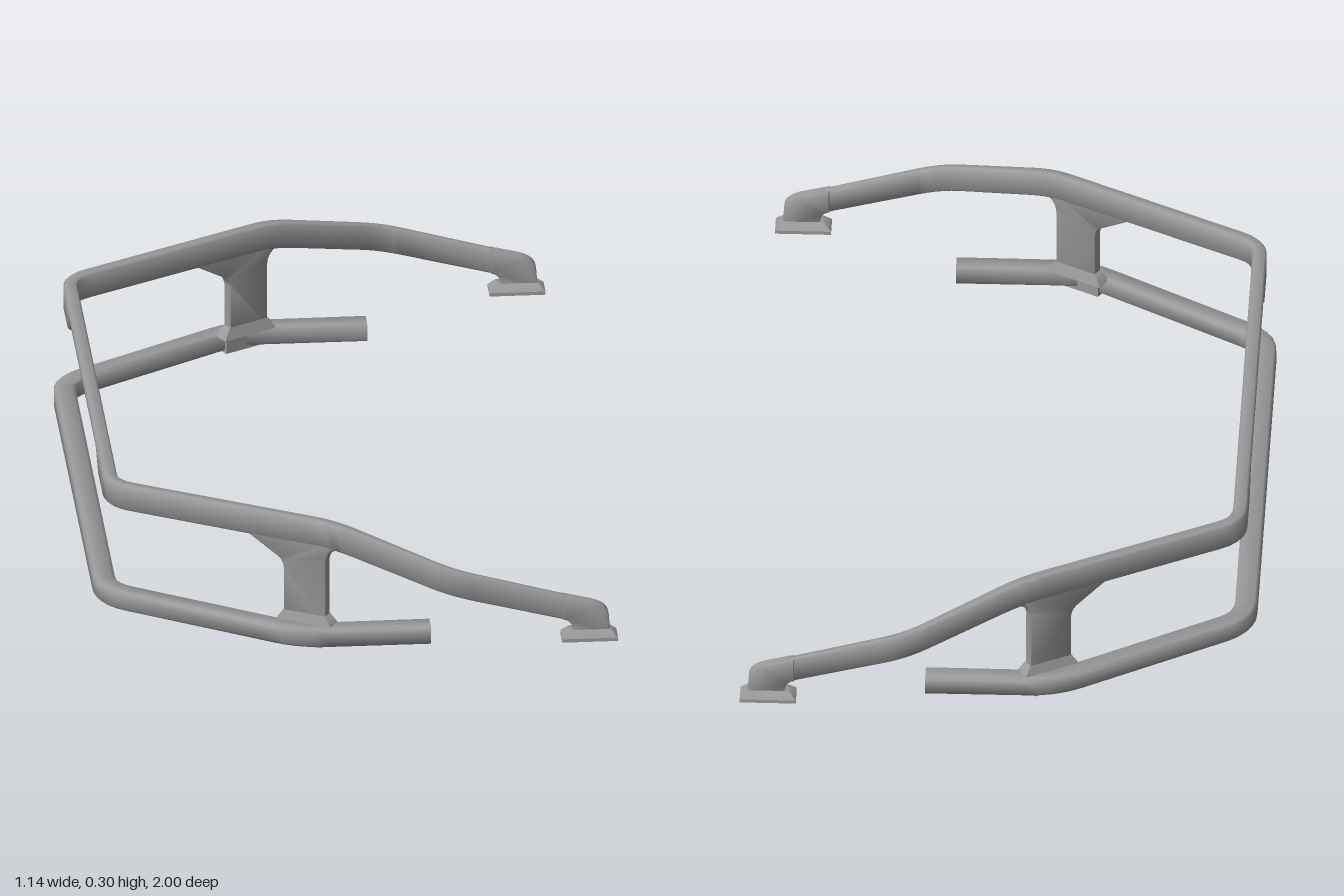
import * as THREE from 'three';
import { toCreasedNormals } from 'three/addons/utils/BufferGeometryUtils.js';

const material = new THREE.MeshStandardMaterial({ color: 0x9a9a9a, side: THREE.DoubleSide });

// Chamfers blend into their faces; square corners stay sharp.
function mesh(name, geometry, parent) {
  const m = new THREE.Mesh(toCreasedNormals(geometry, 1.0), material);
  m.name = name;
  parent.add(m);
  return m;
}

// Rows are [x, z, bottom y, top y, width]; mirror the half path across z = 0.
function mirrored(half) {
  return [...half.map(([x, z, ...rest]) => [x, -z, ...rest]).reverse(), ...half];
}

// Round each corner seen from above, blending every value of the row.
function roundPath(points, radius, steps = 5) {
  const mix = (a, b, t) => a.map((v, i) => v + (b[i] - v) * t);
  const length = (a, b) => Math.hypot(a[0] - b[0], a[1] - b[1]);
  const out = [points[0]];
  for (let i = 1; i < points.length - 1; i++) {
    const [p, c, n] = [points[i - 1], points[i], points[i + 1]];
    // Points on a straight run stay sharp
    if (length(p, c) + length(c, n) - length(p, n) < 1e-6) {
      out.push(c);
      continue;
    }
    const a = mix(c, p, Math.min(0.4, radius / length(c, p)));
    const b = mix(c, n, Math.min(0.4, radius / length(c, n)));
    for (let k = 0; k <= steps; k++) {
      const t = k / steps;
      out.push(mix(mix(a, c, t), mix(c, b, t), t));
    }
  }
  out.push(points[points.length - 1]);
  return out;
}

// Sweep an upright rectangle with chamfered edges along a path.
function railGeometry(path, chamfer) {
  const positions = [], index = [], sides = 8;
  path.forEach(([x, z, y0, y1, w], i) => {
    const a = path[Math.max(i - 1, 0)], b = path[Math.min(i + 1, path.length - 1)];
    const len = Math.hypot(b[0] - a[0], b[1] - a[1]);
    const tx = (b[0] - a[0]) / len, tz = (b[1] - a[1]) / len;
    const h = w / 2, c = Math.min(chamfer, (y1 - y0) * 0.3);
    const ring = [
      [h, y0 + c], [h, y1 - c], [h - c, y1], [c - h, y1],
      [-h, y1 - c], [-h, y0 + c], [c - h, y0], [h - c, y0],
    ];
    ring.forEach(([s, y]) => positions.push(x + s * tz, y, z - s * tx));
  });
  for (let i = 0; i < path.length - 1; i++) {
    for (let k = 0; k < sides; k++) {
      const a = i * sides + k, b = i * sides + (k + 1) % sides;
      index.push(a, b, b + sides, a, b + sides, a + sides);
    }
  }
  const last = (path.length - 1) * sides;
  for (let k = 1; k < sides - 1; k++) {
    index.push(0, k + 1, k, last, last + k, last + k + 1);
  }
  const g = new THREE.BufferGeometry();
  g.setAttribute('position', new THREE.Float32BufferAttribute(positions, 3));
  g.setIndex(index);
  return g;
}

// Block standing on y = 0 whose top is scaled in.
function taperedBlock(w, h, d, topX, topZ) {
  const g = new THREE.BoxGeometry(w, h, d).translate(0, h / 2, 0);
  const p = g.attributes.position;
  for (let i = 0; i < p.count; i++) {
    if (p.getY(i) > h / 2) {
      p.setX(i, p.getX(i) * topX);
      p.setZ(i, p.getZ(i) * topZ);
    }
  }
  return g;
}

// Plate from a shape, centred on its thickness, with a small bevel.
function plate(shape, thickness) {
  const bevel = 0.003, depth = thickness - 2 * bevel;
  return new THREE.ExtrudeGeometry(shape, {
    depth, bevelSize: bevel, bevelThickness: bevel, bevelOffset: -bevel,
    bevelSegments: 1, curveSegments: 8,
  }).translate(0, 0, -depth / 2);
}

// Post with a long gusset on one side and a short fillet on the other.
function postShape() {
  const s = new THREE.Shape();
  s.moveTo(-0.052, 0.05);
  s.lineTo(0.052, 0.05);
  s.lineTo(0.052, 0.2);
  s.quadraticCurveTo(0.053, 0.225, 0.075, 0.235);
  s.lineTo(0.075, 0.26);
  s.lineTo(-0.137, 0.26);
  s.lineTo(-0.137, 0.238);
  s.lineTo(-0.066, 0.196);
  s.quadraticCurveTo(-0.052, 0.185, -0.052, 0.165);
  return s;
}

// Elbow that turns the arm down onto its pad.
function elbowShape() {
  const s = new THREE.Shape();
  s.moveTo(0.45, 0.101);
  s.quadraticCurveTo(0.475, 0.098, 0.472, 0.062);
  s.lineTo(0.556, 0.062);
  s.lineTo(0.552, 0.112);
  s.quadraticCurveTo(0.548, 0.133, 0.515, 0.143);
  s.lineTo(0.45, 0.159);
  return s;
}

export function createModel() {
  const model = new THREE.Group();
  model.name = 'guardRail';

  // Lower rail
  const lower = mirrored([
    [-0.548, 0.58, 0.004, 0.048, 0.05],
    [-0.13, 0.851, 0.004, 0.048, 0.05],
    [0.16, 0.851, 0.004, 0.048, 0.052],
  ]);
  mesh('lowerRail', railGeometry(roundPath(lower, 0.06), 0.006), model);

  // Upper rail: slim in the middle, deep at the sides, sloping down along the arms
  const upper = mirrored([
    [-0.535, 0.34, 0.28, 0.3, 0.032],
    [-0.535, 0.405, 0.243, 0.3, 0.032],
    [-0.535, 0.575, 0.24, 0.3, 0.032],
    [-0.055, 0.848, 0.238, 0.3, 0.03],
    [0.2, 0.973, 0.165, 0.228, 0.022],
    [0.46, 0.973, 0.098, 0.157, 0.02],
  ]);
  mesh('upperRail', railGeometry(roundPath(upper, 0.05), 0.005), model);

  for (const side of [1, -1]) {
    const label = side > 0 ? 'front' : 'back';

    // Post and its flared foot, turned in line with the upper rail
    const support = new THREE.Group();
    support.name = label + 'Support';
    support.position.set(-0.115, 0, side * 0.815);
    support.rotation.y = -side * Math.atan(0.57);
    mesh('post', plate(postShape(), 0.024), support);
    mesh('footFlare', taperedBlock(0.14, 0.026, 0.042, 0.75, 0.6), support).position.y = 0.044;
    mesh('footBase', new THREE.BoxGeometry(0.1, 0.046, 0.028), support).position.set(0, 0.023, side * 0.018);
    model.add(support);

    // Arm end with mounting pad
    const armEnd = new THREE.Group();
    armEnd.name = label + 'ArmEnd';
    armEnd.position.z = side * 0.973;
    mesh('elbow', plate(elbowShape(), 0.026), armEnd);
    mesh('padBase', new THREE.BoxGeometry(0.126, 0.008, 0.054), armEnd).position.set(0.509, 0.056, 0);
    mesh('padTop', taperedBlock(0.126, 0.016, 0.054, 0.74, 0.55), armEnd).position.set(0.509, 0.06, 0);
    model.add(armEnd);
  }
  return model;
}
